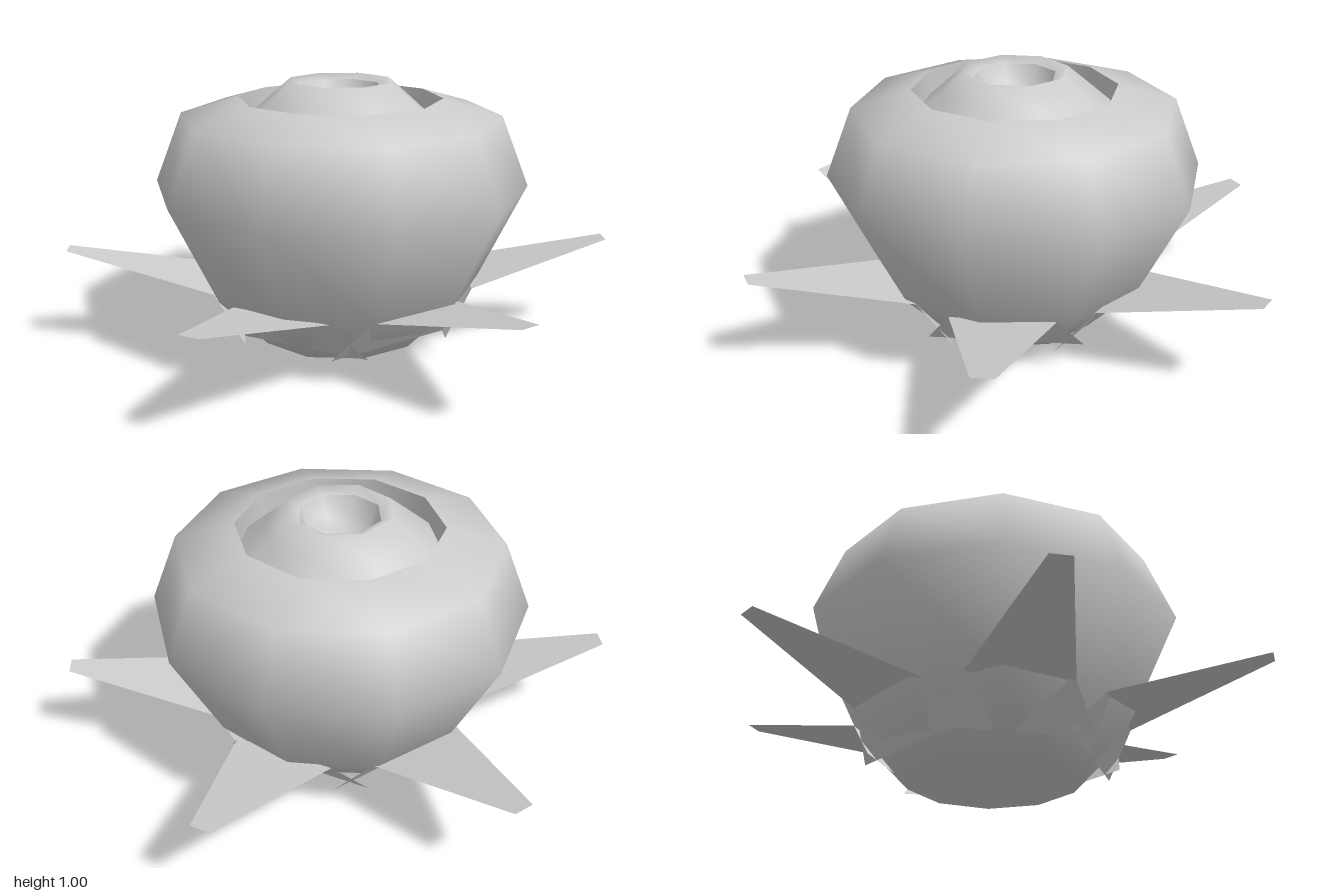
import * as THREE from 'three';

const material = new THREE.MeshStandardMaterial({ color: 0xcccccc, side: THREE.DoubleSide });

function lathe(name, profile, sides, startDeg) {
  const points = profile.map(([r, y]) => new THREE.Vector2(r, y));
  const geometry = new THREE.LatheGeometry(points, sides, THREE.MathUtils.degToRad(startDeg));
  const mesh = new THREE.Mesh(geometry, material);
  mesh.name = name;
  return mesh;
}

// One leaf pointing along +x: an upright base panel folded into a long tapering blade
function leafGeometry() {
  const rows = [ // distance from axis, height, half width
    [0.36, 0.105, 0.28],
    [0.47, 0.258, 0.187],
    [1.013, 0.388, 0.037],
  ];
  const positions = [];
  for (let i = 0; i < rows.length - 1; i++) {
    const [u0, y0, w0] = rows[i];
    const [u1, y1, w1] = rows[i + 1];
    const a = [u0, y0, -w0], b = [u0, y0, w0], c = [u1, y1, w1], d = [u1, y1, -w1];
    positions.push(...a, ...b, ...c, ...a, ...c, ...d);
  }
  const geometry = new THREE.BufferGeometry();
  geometry.setAttribute('position', new THREE.Float32BufferAttribute(positions, 3));
  geometry.computeVertexNormals();
  return geometry;
}

export function createModel() {
  const model = new THREE.Group();
  model.name = 'berry';

  // Ten-sided fruit with a sunken opening on top
  const fruit = [[0, 0.003], [0.32, 0.05], [0.51, 0.25], [0.69, 0.62], [0.588, 0.878], [0.373, 0.94]];
  model.add(lathe('fruit', fruit, 10, 3.6));
  model.add(lathe('openingWall', [[0.373, 0.94], [0.373, 0.82]], 10, 3.6));

  // Eight-sided crown rising out of the opening, with a small bowl inside
  model.add(lathe('crown', [[0.42, 0.81], [0.27, 0.94], [0.195, 1.003], [0.15, 0.985]], 8, 22.5));
  model.add(lathe('crownBowl', [[0.15, 0.985], [0.12, 0.92], [0.07, 0.885], [0, 0.875]], 8, 22.5));

  // Ring of six leaves under the fruit
  const leaves = new THREE.Group();
  leaves.name = 'leaves';
  const geometry = leafGeometry();
  for (let i = 0; i < 6; i++) {
    const leaf = new THREE.Mesh(geometry, material);
    leaf.name = 'leaf';
    leaf.rotation.y = THREE.MathUtils.degToRad(17.2 + i * 60);
    leaves.add(leaf);
  }
  model.add(leaves);
  return model;
}
